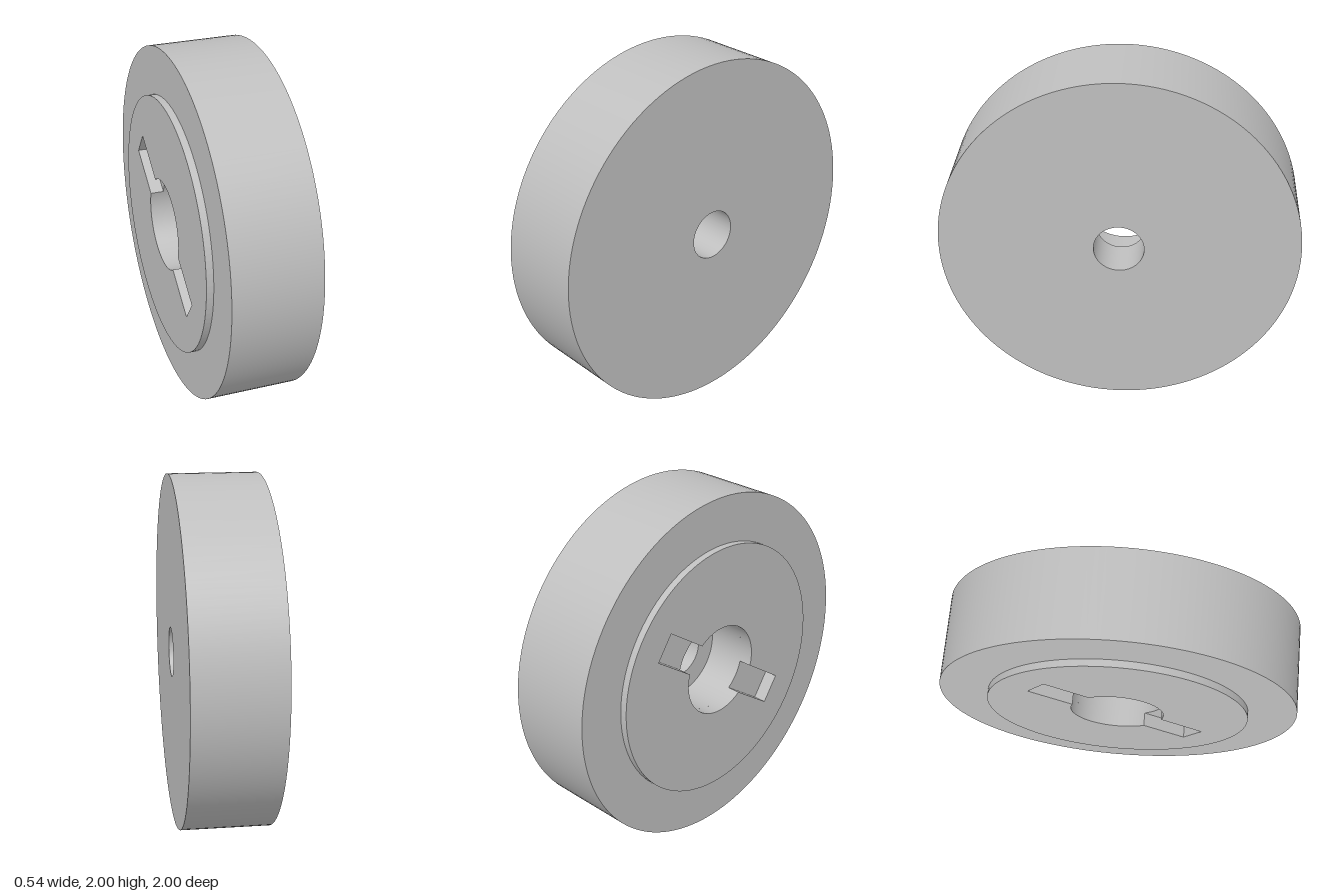
import * as THREE from 'three';
import { mergeGeometries } from 'three/addons/utils/BufferGeometryUtils.js';

const BORE = 0.26, HOLE = 0.14, HUB = 0.73;
const FACE = -0.27, SLOT_FLOOR = -0.195, SHOULDER = -0.23, BORE_FLOOR = 0.03, BACK = 0.27;

// Turned solid about the x axis; every profile segment keeps its own normals.
function turned(profile) {
  const rings = [];
  for (let i = 0; i + 1 < profile.length; i++) {
    const pair = [profile[i], profile[i + 1]].map(([r, x]) => new THREE.Vector2(r, x));
    rings.push(new THREE.LatheGeometry(pair, 128));
  }
  return mergeGeometries(rings).rotateZ(-Math.PI / 2);
}

// Round bore outline with two opposite key slots.
function slottedBore(r, halfWidth, reach) {
  const a = Math.asin(halfWidth / r);
  const path = new THREE.Path();
  path.moveTo(reach, -halfWidth);
  path.lineTo(reach, halfWidth);
  path.lineTo(r * Math.cos(a), halfWidth);
  path.absarc(0, 0, r, a, Math.PI - a, false);
  path.lineTo(-reach, halfWidth);
  path.lineTo(-reach, -halfWidth);
  path.lineTo(-r * Math.cos(a), -halfWidth);
  path.absarc(0, 0, r, Math.PI + a, 2 * Math.PI - a, false);
  path.closePath();
  return path;
}

export function createModel() {
  const model = new THREE.Group();
  model.name = 'slottedWheel';
  const metal = new THREE.MeshStandardMaterial({ color: 0xbfbfbf });
  metal.name = 'grey metal';

  // Wheel body with a stepped through hole
  const body = new THREE.Mesh(turned([
    [HUB, SHOULDER], [1, SHOULDER], [1, BACK], [HOLE, BACK],
    [HOLE, BORE_FLOOR], [BORE, BORE_FLOOR], [BORE, SLOT_FLOOR], [HUB, SLOT_FLOOR],
  ]), metal);
  body.name = 'wheelBody';

  // Raised hub plate, cut by the bore and its tilted key slots
  const plate = new THREE.Shape();
  plate.absarc(0, 0, HUB, 0, Math.PI * 2, false);
  plate.holes.push(slottedBore(BORE, 0.083, 0.537));
  const plateGeometry = new THREE.ExtrudeGeometry(plate, {
    depth: SLOT_FLOOR - FACE, bevelEnabled: false, curveSegments: 64,
  });
  plateGeometry.rotateZ(THREE.MathUtils.degToRad(35));
  plateGeometry.rotateY(Math.PI / 2);
  plateGeometry.translate(FACE, 0, 0);
  const hub = new THREE.Mesh(plateGeometry, metal);
  hub.name = 'slottedHub';

  for (const part of [body, hub]) {
    part.position.y = 1;
    model.add(part);
  }
  return model;
}
